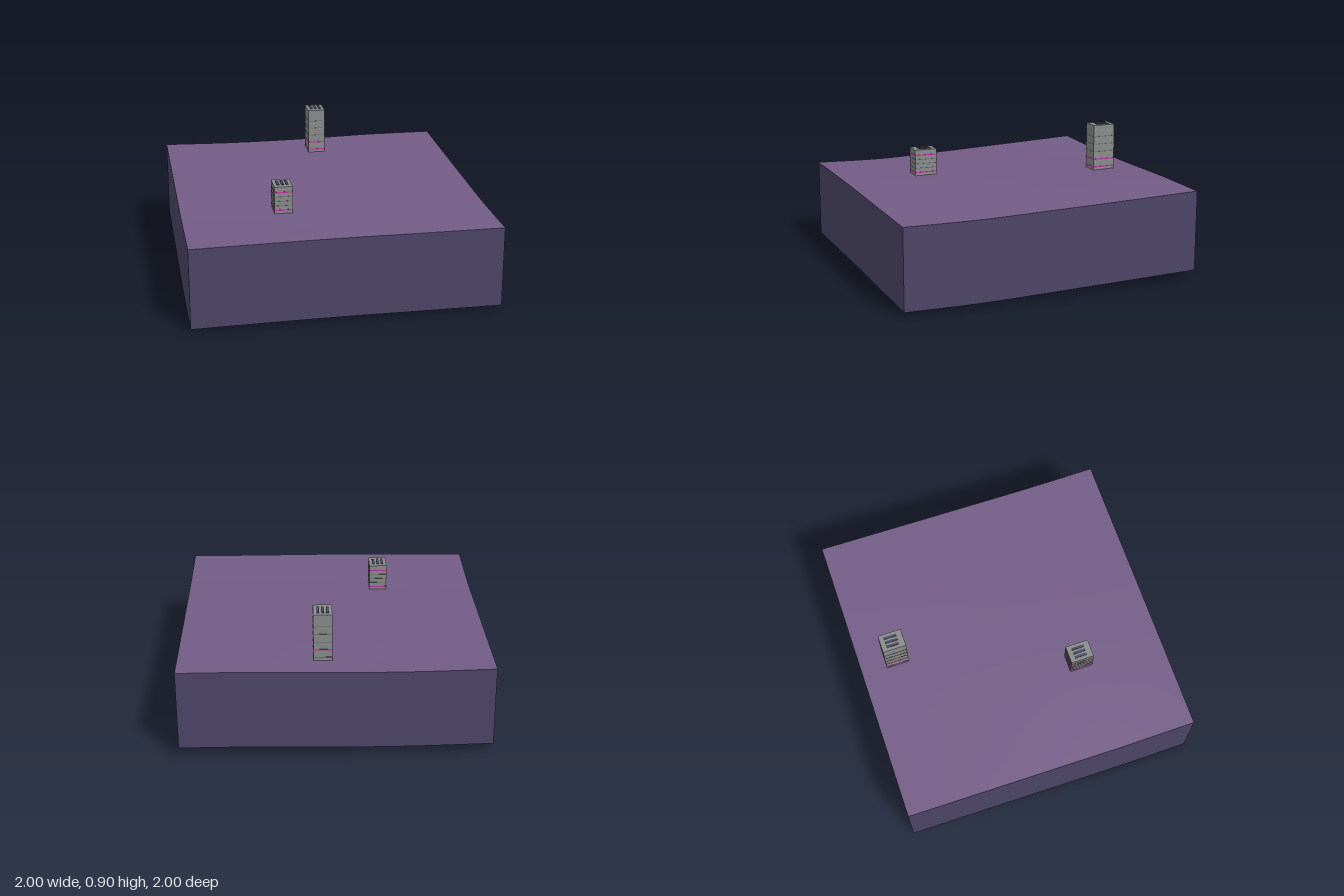
import * as THREE from 'three';

const mat = (name, color, side = THREE.FrontSide) => {
  const m = new THREE.MeshStandardMaterial({ color, side });
  m.name = name;
  return m;
};

// Ground heights: rows run from back (z = -1) to front, columns from x = -1 to x = 1
const HEIGHTS = [
  [0.597, 0.586, 0.587, 0.597, 0.597],
  [0.575, 0.575, 0.580, 0.584, 0.581],
  [0.554, 0.562, 0.567, 0.567, 0.566],
  [0.536, 0.550, 0.555, 0.554, 0.553],
  [0.545, 0.552, 0.556, 0.555, 0.555],
];
const SKIRT = 0.533;

// Smooth cubic through five evenly spaced values, t in -1..1
function cubic(v, t) {
  const s = (t + 1) * 2;
  const i = Math.max(0, Math.min(3, Math.floor(s)));
  const f = s - i;
  const b = v[i], c = v[i + 1];
  const a = i > 0 ? v[i - 1] : 2 * b - c;
  const d = i < 3 ? v[i + 2] : 2 * c - b;
  return b + 0.5 * f * (c - a + f * (2 * a - 5 * b + 4 * c - d + f * (3 * (b - c) + d - a)));
}
const groundHeight = (x, z) => cubic(HEIGHTS.map(row => cubic(row, x)), z);

// Lift every vertex by the ground height at its place
function drape(geo) {
  const p = geo.attributes.position;
  for (let i = 0; i < p.count; i++) {
    p.setY(i, p.getY(i) + groundHeight(p.getX(i), p.getZ(i)));
  }
  geo.computeVertexNormals();
  return geo;
}

export function createModel() {
  const model = new THREE.Group();
  model.name = 'terrainTile';

  const soil = mat('purple ground', 0x735c86, THREE.DoubleSide);
  const cliff = mat('dark violet skirt', 0x4c4567, THREE.DoubleSide);
  const concrete = mat('grey concrete', 0x888c8a);
  const band = mat('dark grey band', 0x68706d);
  const neon = mat('magenta band', 0xc42fa8);
  const vent = mat('blue grey vent', 0x4a4d68);

  function add(parent, name, geo, material, x = 0, y = 0, z = 0) {
    const mesh = new THREE.Mesh(geo, material);
    mesh.name = name;
    mesh.position.set(x, y, z);
    parent.add(mesh);
    return mesh;
  }

  // Rolling ground surface
  add(model, 'ground', drape(new THREE.PlaneGeometry(2, 2, 40, 40).rotateX(-Math.PI / 2)), soil);

  // Four skirt walls, following the ground at top and bottom; open below
  ['front', 'left', 'back', 'right'].forEach((side, i) => {
    const wall = new THREE.PlaneGeometry(2, SKIRT, 40, 1);
    wall.translate(0, -SKIRT / 2, 1).rotateY(i * Math.PI / 2);
    add(model, side + 'Skirt', drape(wall), cliff);
  });

  // Tower block with storey bands and three roof vents
  function tower(name, x, z, top, bandStart, bandStep, neonRows) {
    const w = 0.12, d = 0.156;
    const base = groundHeight(x, z);
    const g = new THREE.Group();
    g.name = name;
    g.position.set(x, 0, z);
    add(g, 'towerBody', new THREE.BoxGeometry(w, top - base, d), concrete, 0, (top + base) / 2, 0);
    for (let i = 0; i < 5; i++) {
      const isNeon = neonRows.includes(i);
      const h = isNeon ? 0.008 : 0.004;
      add(g, isNeon ? 'neonBand' : 'storeyBand', new THREE.BoxGeometry(w + 0.003, h, d + 0.003),
        isNeon ? neon : band, 0, bandStart + i * bandStep, 0);
    }
    for (const vx of [-0.03, 0, 0.03]) {
      add(g, 'roofVent', new THREE.BoxGeometry(0.016, 0.006, 0.084), vent, vx, top + 0.002, -0.003);
    }
    model.add(g);
  }
  tower('tallTower', 0.08, -0.75, 0.9, 0.607, 0.0533, [0, 1]);
  tower('shortTower', -0.337, 0.417, 0.735, 0.576, 0.0305, [0, 4]);

  return model;
}
